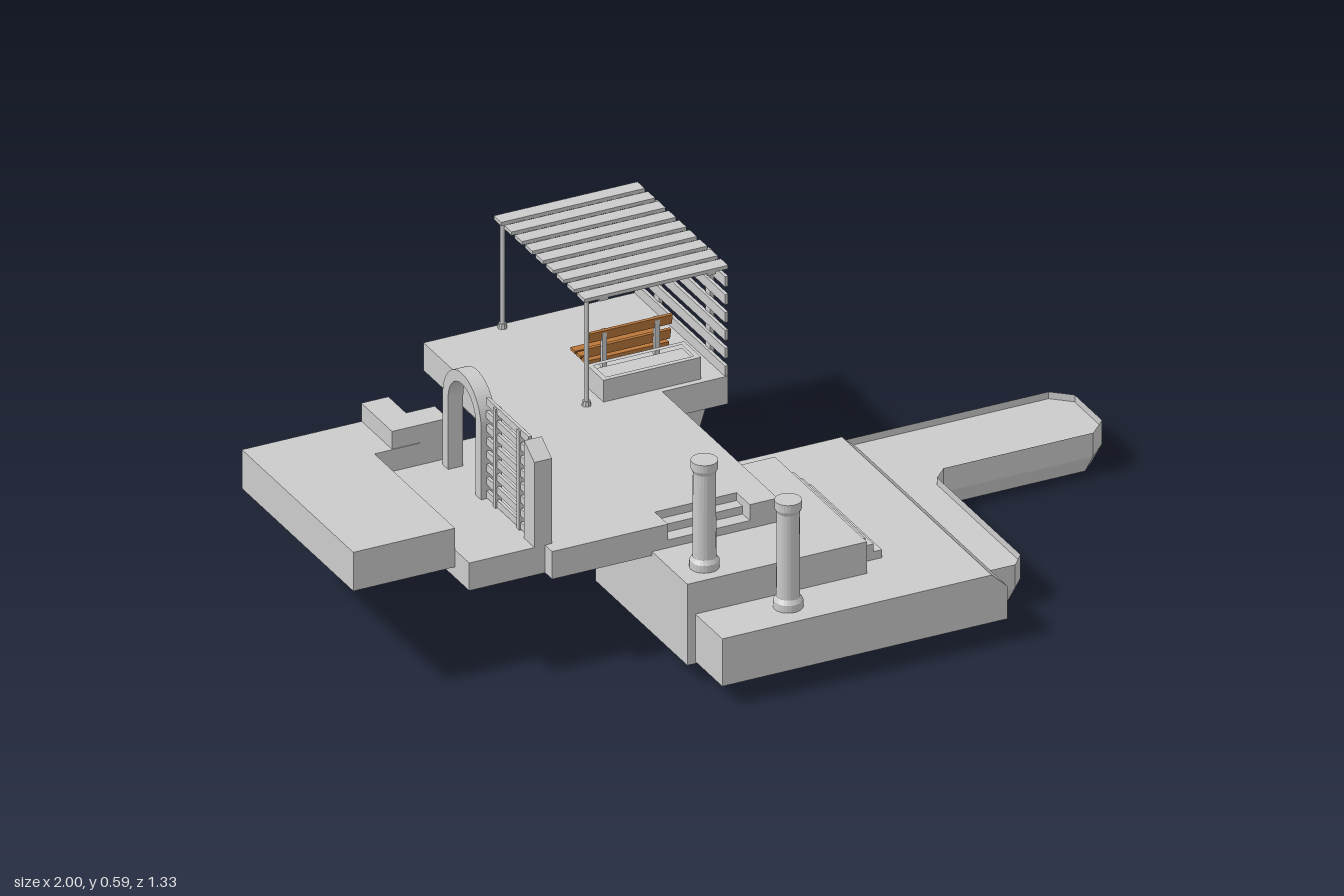
import * as THREE from 'three';

const grey = new THREE.MeshStandardMaterial({ color: 0xcccccc, flatShading: true });
const smooth = new THREE.MeshStandardMaterial({ color: 0xcccccc });
const open = new THREE.MeshStandardMaterial({ color: 0xcccccc, flatShading: true, side: THREE.DoubleSide });
const wood = new THREE.MeshStandardMaterial({ color: 0xb9773a });

function add(parent, name, geometry, material = grey) {
  const mesh = new THREE.Mesh(geometry, material);
  mesh.name = name;
  parent.add(mesh);
  return mesh;
}

function group(parent, name) {
  const g = new THREE.Group();
  g.name = name;
  parent.add(g);
  return g;
}

// Box given by its limits on each axis
function box(parent, name, [x0, x1], [y0, y1], [z0, z1], material) {
  const geo = new THREE.BoxGeometry(x1 - x0, y1 - y0, z1 - z0);
  geo.translate((x0 + x1) / 2, (y0 + y1) / 2, (z0 + z1) / 2);
  return add(parent, name, geo, material);
}

// Upright slab from a plan outline of [x, z] points
function slab(parent, name, plan, y0, y1, hole) {
  const toShape = p => p.map(([x, z]) => new THREE.Vector2(x, -z));
  const shape = new THREE.Shape(toShape(plan));
  if (hole) shape.holes.push(new THREE.Path(toShape(hole)));
  const geo = new THREE.ExtrudeGeometry(shape, { depth: y1 - y0, bevelEnabled: false });
  geo.rotateX(-Math.PI / 2).translate(0, y0, 0);
  return add(parent, name, geo);
}

const rect = (x0, x1, z0, z1) => [[x0, z0], [x1, z0], [x1, z1], [x0, z1]];

// Mitred inset of a plan outline that runs clockwise seen from above
function inset(plan, d) {
  const n = plan.length;
  const normal = (a, b) => new THREE.Vector2(-(b[1] - a[1]), b[0] - a[0]).normalize();
  return plan.map((p, i) => {
    const n1 = normal(plan[(i + n - 1) % n], p), n2 = normal(p, plan[(i + 1) % n]);
    const k = d / (1 + n1.dot(n2));
    return [p[0] + (n1.x + n2.x) * k, p[1] + (n1.y + n2.y) * k];
  });
}

// Wall joining a stack of [plan, y] outlines
function loft(parent, name, rings) {
  const v = [];
  for (let r = 0; r + 1 < rings.length; r++) {
    const [lo, ya] = rings[r], [hi, yb] = rings[r + 1];
    lo.forEach((p, i) => {
      const j = (i + 1) % lo.length;
      const a = [p[0], ya, p[1]], b = [lo[j][0], ya, lo[j][1]];
      const c = [hi[j][0], yb, hi[j][1]], d = [hi[i][0], yb, hi[i][1]];
      v.push(...a, ...d, ...c, ...a, ...c, ...b);
    });
  }
  const geo = new THREE.BufferGeometry();
  geo.setAttribute('position', new THREE.Float32BufferAttribute(v, 3));
  geo.computeVertexNormals();
  return add(parent, name, geo, open);
}

function column(parent, x, y, z) {
  const profile = [[0, 0], [0.034, 0], [0.034, 0.018], [0.027, 0.028], [0.026, 0.24],
    [0.031, 0.25], [0.031, 0.27], [0, 0.27]];
  const points = profile.map(p => new THREE.Vector2(...p));
  add(parent, 'column', new THREE.LatheGeometry(points, 24), grey).position.set(x, y, z);
}

export function createModel() {
  const model = new THREE.Group();
  model.name = 'terracedGarden';

  // Raised west terrace and its corner wall
  slab(model, 'westTerrace', [[-1, -0.3], [-0.63, -0.3], [-0.63, -0.148], [-0.745, -0.148],
    [-0.745, 0.25], [-1, 0.25]], 0.267, 0.365);
  slab(model, 'cornerWall', [[-0.7, -0.302], [-0.632, -0.302], [-0.632, -0.215], [-0.56, -0.215],
    [-0.56, -0.15], [-0.7, -0.15]], 0.29, 0.41);

  // Main terrace with a notch for the south steps
  slab(model, 'mainTerrace', [[-0.745, -0.148], [-0.56, -0.148], [-0.56, -0.21], [-0.36, -0.21],
    [-0.36, -0.665], [0.175, -0.665], [0.175, -0.215], [0.01, -0.215], [0.01, 0.355],
    [-0.06, 0.355], [-0.06, 0.29], [-0.265, 0.29], [-0.265, 0.355], [-0.555, 0.355],
    [-0.555, 0.32], [-0.745, 0.32]], 0.24, 0.31);
  const southSteps = group(model, 'southSteps');
  box(southSteps, 'step', [-0.265, -0.06], [0.24, 0.29], [0.29, 0.32]);
  box(southSteps, 'step', [-0.265, -0.06], [0.24, 0.27], [0.32, 0.355]);

  // Tapered footing below the pergola
  const footTop = rect(-0.318, 0.135, -0.64, -0.24);
  const footBottom = inset(footTop, 0.012);
  loft(model, 'pergolaFooting', [[footBottom, 0.175], [footTop, 0.241]]);
  slab(model, 'footingBase', footBottom, 0.175, 0.18);

  // Podium with east steps
  box(model, 'podium', [-0.305, 0.145], [0.045, 0.25], [0.075, 0.53]);
  const eastSteps = group(model, 'eastSteps');
  [0.23, 0.21, 0.19].forEach((top, i) =>
    box(eastSteps, 'step', [0.14, 0.167 + i * 0.021], [0.16, top], [0.125, 0.478]));

  // Lower base with a chamfered east edge
  const section = new THREE.Shape([[-0.285, 0.05], [0.43, 0.05], [0.43, 0.132], [0.39, 0.17], [-0.285, 0.17]]
    .map(p => new THREE.Vector2(...p)));
  const baseGeo = new THREE.ExtrudeGeometry(section, { depth: 0.74, bevelEnabled: false });
  add(model, 'lowerBase', baseGeo.translate(0, 0, -0.077));

  // L-shaped basin with cut corners and an undercut hull
  const basin = [[0.335, -0.17], [0.955, -0.17], [1, -0.13], [1, 0.005], [0.955, 0.05], [0.58, 0.05],
    [0.547, 0.083], [0.547, 0.495], [0.515, 0.532], [0.315, 0.532], [0.283, 0.495], [0.283, -0.12]];
  const hull = inset(basin, 0.022);
  loft(model, 'basinWall', [[hull, 0], [basin, 0.045], [basin, 0.105]]);
  slab(model, 'basinSurface', inset(basin, 0.001), 0.07, 0.088);
  slab(model, 'basinBottom', hull, 0, 0.006);

  // Columns
  column(model, -0.232, 0.25, 0.47);
  column(model, -0.083, 0.17, 0.59);

  // Slatted fence with a sloped end post
  const fence = group(model, 'fence');
  for (let i = 0; i < 8; i++) {
    const y = 0.321 + i * 0.0334;
    box(fence, 'fenceSlat', [-0.571, -0.563], [y - 0.009, y + 0.009], [0.06, 0.27]);
  }
  for (const z of [0.108, 0.225])
    box(fence, 'fencePost', [-0.575, -0.559], [0.31, 0.56], [z - 0.006, z + 0.006]);
  const post = box(fence, 'endPost', [-0.582, -0.538], [0.31, 0.557], [0.27, 0.32]).geometry;
  const pos = post.attributes.position;
  for (let i = 0; i < pos.count; i++)
    if (pos.getY(i) > 0.5 && pos.getZ(i) > 0.3) pos.setY(i, 0.525);
  post.computeVertexNormals();

  // Round arch
  const arch = new THREE.Shape();
  arch.moveTo(-0.095, 0).lineTo(-0.095, 0.18);
  arch.absarc(0, 0.18, 0.095, Math.PI, 0, true);
  arch.lineTo(0.095, 0).lineTo(0.068, 0).lineTo(0.068, 0.18);
  arch.absarc(0, 0.18, 0.068, 0, Math.PI, false);
  arch.lineTo(-0.068, 0);
  const archGeo = new THREE.ExtrudeGeometry(arch, { depth: 0.038, bevelEnabled: false, curveSegments: 20 });
  const archMesh = add(model, 'arch', archGeo.rotateY(Math.PI / 2), smooth);
  archMesh.position.set(-0.585, 0.31, -0.032);

  // Pergola: roof slats on two beams, east screen, two thin poles
  const pergola = group(model, 'pergola');
  for (let i = 0; i < 9; i++) {
    const z = -0.233 - i * 0.0515;
    box(pergola, 'roofSlat', [-0.185, 0.175], [0.581, 0.59], [z - 0.018, z + 0.018]);
  }
  for (const x of [-0.135, 0.135])
    box(pergola, 'roofBeam', [x - 0.011, x + 0.011], [0.574, 0.582], [-0.66, -0.217]);
  for (let i = 0; i < 6; i++) {
    const y = 0.324 + i * 0.0452;
    box(pergola, 'screenSlat', [0.167, 0.175], [y - 0.013, y + 0.013], [-0.663, -0.215]);
  }
  for (const z of [-0.312, -0.565])
    box(pergola, 'screenPost', [0.173, 0.182], [0.275, 0.583], [z - 0.012, z + 0.012]);
  for (const z of [-0.235, -0.65]) {
    const pole = new THREE.CylinderGeometry(0.006, 0.006, 0.275, 10);
    add(pergola, 'pole', pole, smooth).position.set(-0.17, 0.447, z);
    const foot = new THREE.CylinderGeometry(0.009, 0.011, 0.012, 10);
    add(pergola, 'poleFoot', foot).position.set(-0.17, 0.316, z);
  }

  // Planter behind the bench
  const planter = group(model, 'planter');
  slab(planter, 'planterRim', rect(-0.13, 0.115, -0.315, -0.23), 0.31, 0.365,
    rect(-0.118, 0.103, -0.303, -0.242));
  box(planter, 'planterSoil', [-0.12, 0.105], [0.31, 0.355], [-0.305, -0.24]);

  // Bench facing the back
  const bench = group(model, 'bench');
  for (let i = 0; i < 3; i++) {
    const z = -0.36 - i * 0.027;
    box(bench, 'seatSlat', [-0.113, 0.095], [0.345, 0.353], [z - 0.011, z + 0.011], wood);
  }
  for (const y of [0.377, 0.418]) {
    const slat = new THREE.BoxGeometry(0.208, 0.026, 0.007);
    const mesh = add(bench, 'backSlat', slat, wood);
    mesh.position.set(-0.009, y, -0.345 + (y - 0.377) * 0.2);
    mesh.rotation.x = 0.2;
  }
  for (const x of [-0.075, 0.057]) {
    box(bench, 'benchLeg', [x - 0.006, x + 0.006], [0.31, 0.345], [-0.415, -0.403]);
    box(bench, 'benchLeg', [x - 0.006, x + 0.006], [0.31, 0.43], [-0.342, -0.332]);
    box(bench, 'benchRail', [x - 0.006, x + 0.006], [0.337, 0.345], [-0.425, -0.335]);
  }
  return model;
}
